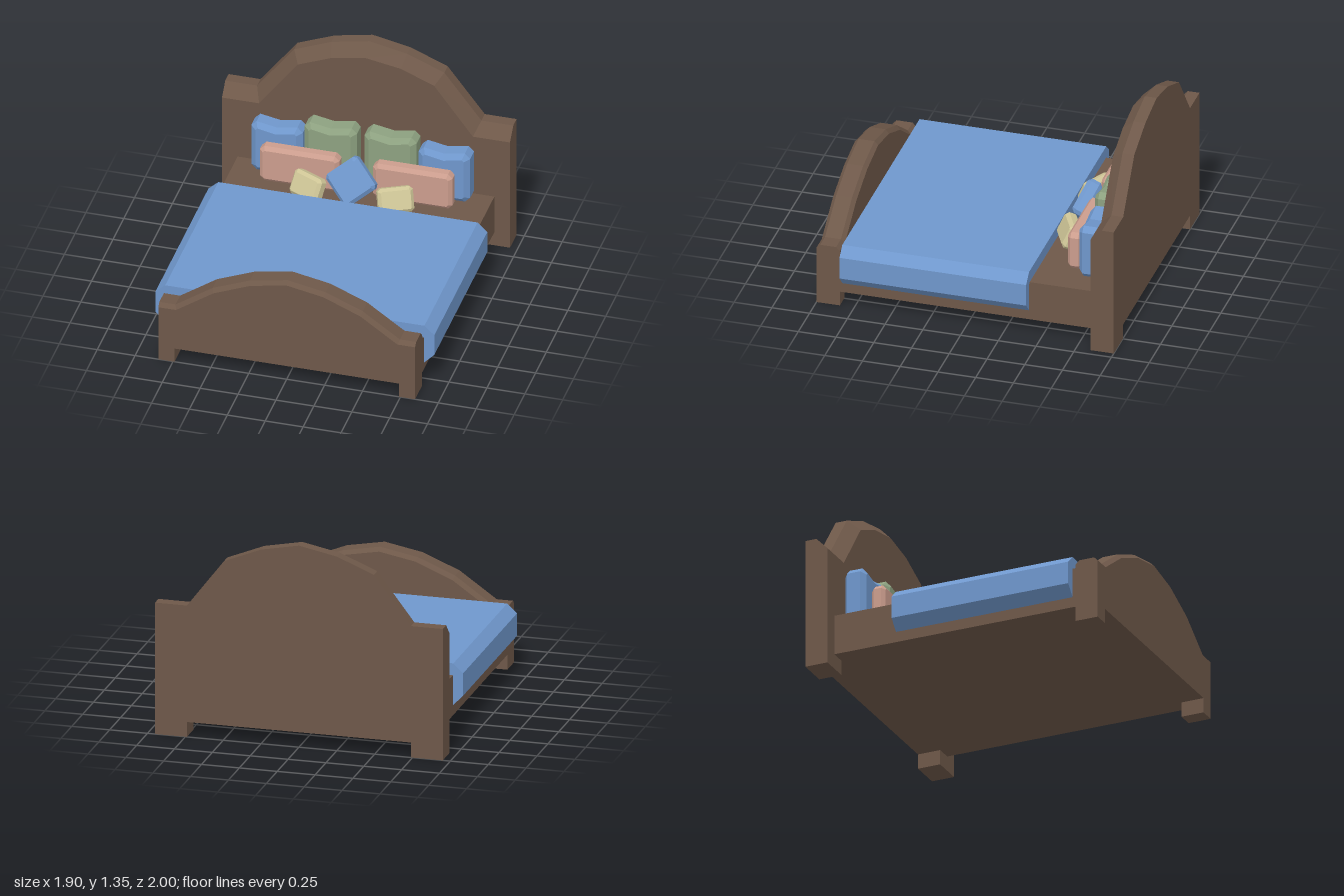
import * as THREE from 'three';

const material = (color) => new THREE.MeshStandardMaterial({ color, flatShading: true });

// Skins a solid through counter-clockwise [x, y] loops placed at rising z
function loft(layers) {
  const pos = [];
  const put = (p, z) => pos.push(p[0], p[1], z);
  for (let k = 0; k < layers.length - 1; k++) {
    const a = layers[k], b = layers[k + 1], n = a.loop.length;
    for (let i = 0; i < n; i++) {
      const j = (i + 1) % n;
      put(a.loop[i], a.z); put(a.loop[j], a.z); put(b.loop[j], b.z);
      put(a.loop[i], a.z); put(b.loop[j], b.z); put(b.loop[i], b.z);
    }
  }
  const cap = ({ loop, z }, back) => {
    const pts = loop.map(([x, y]) => new THREE.Vector2(x, y));
    for (const f of THREE.ShapeUtils.triangulateShape(pts, [])) {
      for (const i of back ? [f[0], f[2], f[1]] : f) put(loop[i], z);
    }
  };
  cap(layers[0], true);
  cap(layers[layers.length - 1], false);
  const geometry = new THREE.BufferGeometry();
  geometry.setAttribute('position', new THREE.Float32BufferAttribute(pos, 3));
  geometry.computeVertexNormals();
  return geometry;
}

// Board outline: two feet, and an arched top given from the right edge to the middle
function boardLoop(arch) {
  const w = arch[0][0];
  const right = [[0.74, 0.1], [0.74, 0], [w, 0], ...arch];
  const left = right.slice(0, -1).reverse().map(([x, y]) => [-x, y]);
  return [...right, ...left];
}

// Pillow outline with cut corners and a sagging top edge
function pillowLoop(w, h, cut, sag) {
  const x = w / 2, y = h / 2;
  return [
    [-x + cut, -y], [0, -y], [x - cut, -y], [x, -y + cut], [x, y - cut],
    [x - cut, y], [0, y - sag], [-x + cut, y], [-x, y - cut], [-x, -y + cut],
  ];
}

function pillow(w, h, d, { cut = 0.03, sag = 0, inset = 0.035, bevel = 0.03 } = {}) {
  const full = pillowLoop(w, h, cut, sag);
  const small = pillowLoop(w - 2 * inset, h - 2 * inset, cut * 0.4, sag);
  return loft([
    { loop: small, z: -d / 2 }, { loop: full, z: -d / 2 + bevel },
    { loop: full, z: d / 2 - bevel }, { loop: small, z: d / 2 },
  ]);
}

export function createModel() {
  const model = new THREE.Group();
  model.name = 'bed';
  const wood = material(0x6e5849), blue = material(0x6f97cc), green = material(0x8da180);
  const pink = material(0xcb9d8d), cream = material(0xcfc697);

  const add = (name, geometry, mat, position = [0, 0, 0], rotation = [0, 0, 0]) => {
    const mesh = new THREE.Mesh(geometry, mat);
    mesh.name = name;
    mesh.position.set(...position);
    mesh.rotation.set(...rotation, 'YXZ');
    model.add(mesh);
  };

  // Headboard, bevelled along its front edge
  const headOuter = boardLoop([[0.95, 0.88], [0.74, 0.88], [0.495, 1.2], [0.25, 1.3], [0, 1.35]]);
  const headInner = boardLoop([[0.95, 0.8], [0.705, 0.8], [0.45, 1.14], [0.23, 1.23], [0, 1.27]]);
  add('headboard', loft([
    { loop: headOuter, z: -1 }, { loop: headOuter, z: -0.922 }, { loop: headInner, z: -0.845 },
  ]), wood);

  // Footboard, lightly bevelled on both edges
  const footOuter = boardLoop([[0.847, 0.42], [0.74, 0.42], [0.495, 0.59], [0.25, 0.69], [0, 0.737]]);
  const footInner = boardLoop([[0.847, 0.395], [0.73, 0.395], [0.485, 0.565], [0.24, 0.667], [0, 0.712]]);
  add('footboard', loft([
    { loop: footInner, z: 0.845 }, { loop: footOuter, z: 0.87 },
    { loop: footOuter, z: 0.975 }, { loop: footInner, z: 1 },
  ]), wood);

  // Bed base
  add('base', new THREE.BoxGeometry(1.694, 0.27, 1.69), wood, [0, 0.235, 0]);

  // Blanket draped over both sides
  const drape = [[0.853, 0.36], [0.853, 0.17], [0.92, 0.24], [0.92, 0.39], [0.855, 0.45]];
  const blanket = [...drape, ...drape.map(([x, y]) => [-x, y]).reverse()];
  add('blanket', loft([{ loop: blanket, z: -0.412 }, { loop: blanket, z: 0.825 }]), blue, [0.004, 0, 0]);

  // Mirrored pairs of pillows
  const backBlue = pillow(0.34, 0.365, 0.15, { sag: 0.025, cut: 0.035 });
  const backGreen = pillow(0.345, 0.42, 0.15, { sag: 0.025, cut: 0.035 });
  const long = pillow(0.525, 0.26, 0.095, { inset: 0.025, bevel: 0.022 });
  const small = pillow(0.23, 0.165, 0.09, { cut: 0.02, inset: 0.02, bevel: 0.022 });
  for (const [side, s] of [['left', 1], ['right', -1]]) {
    add(side + 'BluePillow', backBlue, blue, [s * 0.552, 0.563, -0.768]);
    add(side + 'GreenPillow', backGreen, green, [s * 0.197, 0.592, -0.768]);
    add(side + 'LongPillow', long, pink, [s * 0.373, 0.51, -0.643]);
    add(side + 'SmallPillow', small, cream, [s * 0.288, 0.458, -0.51], [-0.45, s * 0.46, 0]);
  }

  // Centre pillow standing on its corner and leaning back
  add('centrePillow', pillow(0.25, 0.25, 0.105, { cut: 0.022, inset: 0.022, bevel: 0.025 }),
    blue, [-0.006, 0.53, -0.535], [-0.42, 0, 0.72]);

  return model;
}
